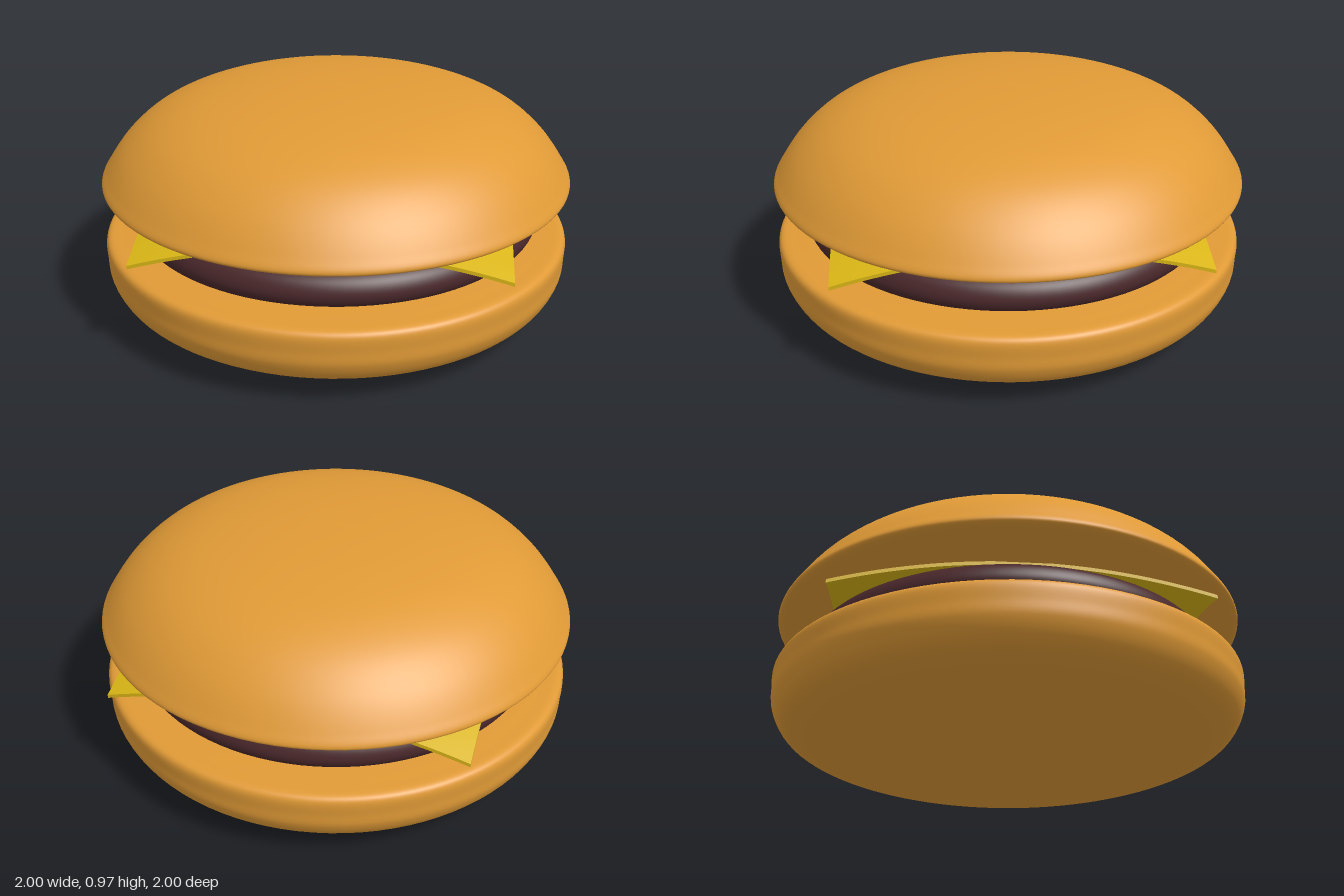
import * as THREE from 'three';

// Smooth solid of revolution; the profile runs from the bottom centre to the top centre
function turned(name, points, color) {
  const curve = new THREE.CatmullRomCurve3(
    points.map(([r, y]) => new THREE.Vector3(r, y, 0)), false, 'centripetal');
  const profile = curve.getPoints(72).map((p) => new THREE.Vector2(Math.max(p.x, 0), p.y));
  const mesh = new THREE.Mesh(
    new THREE.LatheGeometry(profile, 96),
    new THREE.MeshStandardMaterial({ color }));
  mesh.name = name;
  return mesh;
}

// Thin square slice that sags where it reaches past the patty
function cheeseSlice() {
  const half = 0.74;
  const geometry = new THREE.BoxGeometry(half * 2, 0.015, half * 2, 40, 1, 40);
  const pos = geometry.attributes.position;
  for (let i = 0; i < pos.count; i++) {
    const x = pos.getX(i), z = pos.getZ(i);
    const sag = 0.2 * Math.max(0, x * x + z * z - half * half);
    pos.setY(i, pos.getY(i) + 0.55 - sag);
  }
  geometry.computeVertexNormals();
  const mesh = new THREE.Mesh(geometry, new THREE.MeshStandardMaterial({ color: 0xd9b516 }));
  mesh.name = 'cheeseSlice';
  return mesh;
}

export function createModel() {
  const group = new THREE.Group();
  group.name = 'cheeseburger';
  const bun = 0xe09a36;

  group.add(turned('bottomBun', [
    [0, 0], [0.4, 0.015], [0.64, 0.038], [0.84, 0.075], [0.95, 0.125], [0.995, 0.2],
    [1, 0.26], [1, 0.325], [0.985, 0.343], [0.92, 0.35], [0.7, 0.358], [0, 0.36],
  ], bun));

  group.add(turned('patty', [
    [0, 0.355], [0.5, 0.356], [0.8, 0.36], [0.855, 0.377], [0.875, 0.42],
    [0.855, 0.475], [0.79, 0.511], [0.65, 0.528], [0.35, 0.538], [0, 0.54],
  ], 0x4a282b));

  group.add(cheeseSlice());

  group.add(turned('topBun', [
    [0, 0.55], [0.5, 0.552], [0.85, 0.558], [0.97, 0.567], [1, 0.585], [0.975, 0.635],
    [0.9, 0.737], [0.79, 0.83], [0.635, 0.9], [0.42, 0.945], [0.2, 0.965], [0, 0.97],
  ], bun));

  return group;
}
